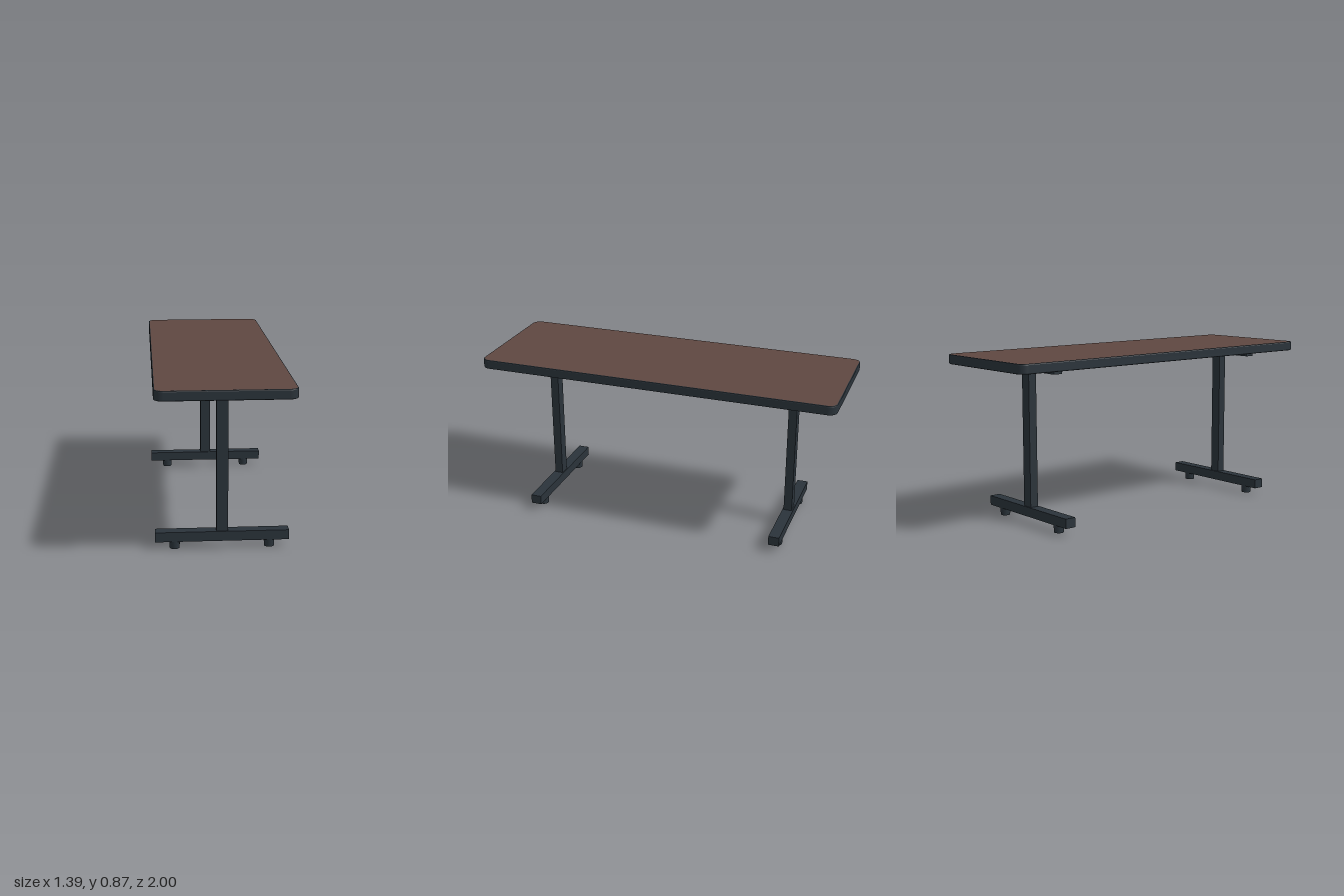
import * as THREE from 'three';

export function createModel() {
  const model = new THREE.Group();
  model.name = 'table';
  const brown = new THREE.MeshStandardMaterial({ color: 0x5f4741 });
  brown.name = 'brown laminate';
  const dark = new THREE.MeshStandardMaterial({ color: 0x2a333a });
  dark.name = 'dark metal';

  const add = (parent, name, geometry, material, x, y, z) => {
    const mesh = new THREE.Mesh(geometry, material);
    mesh.name = name;
    mesh.position.set(x, y, z);
    parent.add(mesh);
    return mesh;
  };
  // box given by its bottom and top heights
  const bar = (parent, name, w, y0, y1, d, z = 0) =>
    add(parent, name, new THREE.BoxGeometry(w, y1 - y0, d), dark, 0, (y0 + y1) / 2, z);

  // the table is turned on the floor; its long axis is local z
  const table = new THREE.Group();
  table.name = 'turnedTable';
  table.rotation.y = THREE.MathUtils.degToRad(-24.85);
  model.add(table);

  // rounded top: brown faces, dark edge band
  const hw = 0.336, hl = 0.9625, r = 0.045, bevel = 0.006;
  const outline = new THREE.Shape();
  outline.absarc(hw - r, hl - r, r, 0, Math.PI / 2);
  outline.absarc(-hw + r, hl - r, r, Math.PI / 2, Math.PI);
  outline.absarc(-hw + r, -hl + r, r, Math.PI, Math.PI * 1.5);
  outline.absarc(hw - r, -hl + r, r, Math.PI * 1.5, Math.PI * 2);
  const slab = new THREE.ExtrudeGeometry(outline, {
    depth: 0.05 - 2 * bevel, curveSegments: 8,
    bevelEnabled: true, bevelSize: bevel, bevelThickness: bevel, bevelOffset: -bevel, bevelSegments: 2,
  });
  slab.rotateX(-Math.PI / 2);
  add(table, 'tableTop', slab, [brown, dark], 0, 0.82 + bevel, 0);

  // long beam under the top
  bar(table, 'beam', 0.05, 0.798, 0.82, 1.366);

  // two T-shaped legs
  for (const side of [1, -1]) {
    const leg = new THREE.Group();
    leg.name = side > 0 ? 'frontLeg' : 'backLeg';
    leg.position.z = side * 0.683;
    table.add(leg);
    bar(leg, 'topBracket', 0.49, 0.795, 0.82, 0.05);
    bar(leg, 'post', 0.058, 0.085, 0.8, 0.045);
    bar(leg, 'foot', 0.668, 0.04, 0.09, 0.058);
    for (const x of [-0.237, 0.237]) {
      add(leg, 'footPad', new THREE.CylinderGeometry(0.027, 0.025, 0.04, 16), dark, x, 0.02, 0);
    }
  }
  return model;
}
